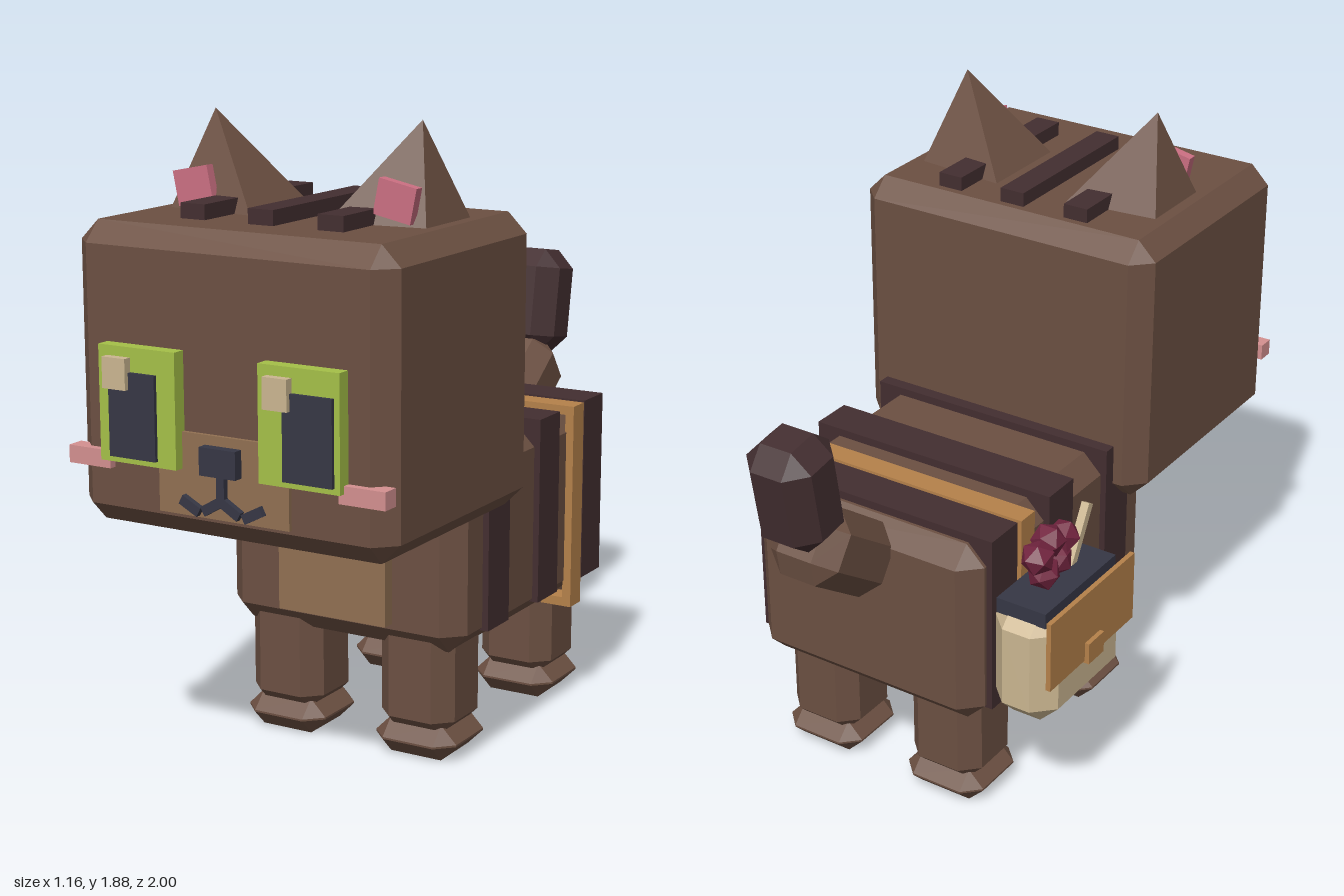
import * as THREE from 'three';
import { ConvexGeometry } from 'three/addons/geometries/ConvexGeometry.js';

const mat = (name, color) => Object.assign(new THREE.MeshStandardMaterial({ color }), { name });

const CX = 0.073; // mirror plane of the body

// Box with all edges cut at 45 degrees
function chamferBox(w, h, d, c) {
  const pts = [];
  for (const sx of [-1, 1]) for (const sy of [-1, 1]) for (const sz of [-1, 1]) {
    const x = w / 2, y = h / 2, z = d / 2;
    pts.push(
      new THREE.Vector3(sx * x, sy * (y - c), sz * (z - c)),
      new THREE.Vector3(sx * (x - c), sy * y, sz * (z - c)),
      new THREE.Vector3(sx * (x - c), sy * (y - c), sz * z));
  }
  return new ConvexGeometry(pts);
}

export function createModel() {
  const fur = mat('brown fur', 0x6c5042);
  const dark = mat('dark stripe', 0x432e30);
  const tan = mat('tan patch', 0x917052);
  const green = mat('eye green', 0xa5c048);
  const navy = mat('dark navy', 0x363745);
  const cream = mat('cream', 0xcbb691);
  const leather = mat('orange leather', 0xb5814a);
  const rose = mat('inner ear pink', 0xcb6f82);
  const blush = mat('cheek pink', 0xd49090);
  const crimson = mat('crimson', 0x72243f);

  const model = new THREE.Group();
  model.name = 'boxyCat';

  const add = (name, geometry, material, x = 0, y = 0, z = 0, rx = 0, rz = 0) => {
    const m = new THREE.Mesh(geometry, material);
    m.name = name;
    m.position.set(x, y, z);
    m.rotation.set(rx, 0, rz);
    model.add(m);
    return m;
  };
  // Place a box by its extents; a chamfer is optional
  const span = (name, material, x0, x1, y0, y1, z0, z1, c = 0) => {
    const s = [x1 - x0, y1 - y0, z1 - z0];
    return add(name, c ? chamferBox(...s, c) : new THREE.BoxGeometry(...s), material,
      (x0 + x1) / 2, (y0 + y1) / 2, (z0 + z1) / 2);
  };

  // Head and body
  span('head', fur, -0.432, 0.578, 0.77, 1.612, 0.12, 0.93, 0.058);
  span('body', fur, -0.325, 0.468, 0.34, 0.93, -0.61, 0.36, 0.06);
  span('chestPatch', tan, -0.108, 0.253, 0.417, 0.79, 0.3, 0.4);

  // Body stripes
  for (const [z0, z1] of [[0.08, 0.21], [-0.24, -0.11], [-0.54, -0.41]])
    span('bodyStripe', dark, -0.344, 0.487, 0.39, 0.955, z0, z1);

  // Strap around the body
  span('strapTop', leather, -0.34, 0.492, 0.925, 0.953, -0.395, -0.325);
  span('strapBottom', leather, -0.34, 0.48, 0.317, 0.345, -0.395, -0.325);
  span('strapRight', leather, -0.348, -0.32, 0.317, 0.953, -0.395, -0.325);
  span('strapLeft', leather, 0.464, 0.492, 0.317, 0.953, -0.395, -0.325);

  // Legs and feet
  for (const x of [-0.153, 0.295]) for (const z of [0.208, -0.422]) {
    add('leg', chamferBox(0.245, 0.36, 0.245, 0.052), fur, x, 0.25, z);
    add('foot', chamferBox(0.27, 0.108, 0.268, 0.051), fur, x, 0.054, z);
  }

  // Tail
  add('tailBase', chamferBox(0.235, 0.36, 0.225, 0.058), fur, CX, 0.892, -0.722, -0.95);
  add('tailTip', chamferBox(0.22, 0.34, 0.215, 0.058), dark, CX, 1.16, -0.876, -0.165);

  // Head stripes
  for (const x of [CX - 0.22, CX, CX + 0.22])
    span('headStripe', dark, x - 0.04, x + 0.04, 1.6, 1.655, 0.2, 0.75);

  for (const s of [-1, 1]) {
    const side = s < 0 ? 'right' : 'left';
    // Ear: off-centre pyramid leaning outwards
    add(side + 'Ear', new ConvexGeometry([
      [0.115, 1.6, 0.3], [0.115, 1.6, 0.62], [0.415, 1.6, 0.585], [0.415, 1.6, 0.33], [0.335, 1.885, 0.465],
    ].map(([x, y, z]) => new THREE.Vector3(CX + s * x, y, z))), fur);
    add(side + 'InnerEar', new THREE.BoxGeometry(0.117, 0.1, 0.03), rose, CX + s * 0.325, 1.68, 0.583, 0, -s * 0.2);

    // Cheek
    const c = CX + s * 0.436;
    span(side + 'Cheek', blush, c - 0.07, c + 0.07, 0.94, 0.99, 0.9, 0.953);

    // Eye with pupil and highlight
    const e = CX + s * 0.257, p = s < 0 ? -0.195 : 0.362, h = s < 0 ? -0.242 : 0.272;
    span(side + 'Eye', green, e - 0.125, e + 0.125, 0.968, 1.29, 0.92, 0.972);
    span(side + 'Pupil', navy, p - 0.076, p + 0.076, 0.985, 1.222, 0.965, 0.983);
    span(side + 'EyeHighlight', cream, h - 0.038, h + 0.038, 1.175, 1.262, 0.97, 0.997);

    // Mouth curve, two strokes per side
    const stroke = new THREE.BoxGeometry(0.065, 0.028, 0.035);
    add('mouthInner', stroke, navy, CX + s * 0.03, 0.878, 0.942, 0, -s * 0.53);
    add('mouthOuter', stroke, navy, CX + s * 0.1, 0.872, 0.942, 0, s * 0.48);
  }

  // Muzzle and nose
  span('muzzle', tan, -0.137, 0.28, 0.84, 1.07, 0.9, 0.942);
  span('nose', navy, 0.015, 0.131, 0.965, 1.043, 0.92, 0.972);
  span('mouthLine', navy, 0.061, 0.086, 0.885, 0.97, 0.92, 0.96);

  // Side pouch
  span('pouch', cream, -0.555, -0.343, 0.402, 0.772, -0.58, -0.142, 0.06);
  span('pouchOpening', navy, -0.528, -0.365, 0.74, 0.788, -0.55, -0.17);
  span('pouchFlap', leather, -0.568, -0.553, 0.565, 0.787, -0.585, -0.13);
  span('pouchClasp', leather, -0.582, -0.56, 0.557, 0.625, -0.4, -0.318);

  // Berry sprig in the pouch
  const berry = new THREE.IcosahedronGeometry(0.052, 0);
  [[0.925, -0.4], [0.905, -0.468], [0.9, -0.322], [0.84, -0.435], [0.845, -0.36]].forEach(([y, z], i) =>
    add('berry', berry, crimson, -0.445 + (i % 2 ? -0.004 : 0.004), y, z, i * 0.7, i * 0.4));
  add('sprigStem', new THREE.BoxGeometry(0.025, 0.2, 0.025), cream, -0.442, 0.858, -0.24, 0.5);

  return model;
}
